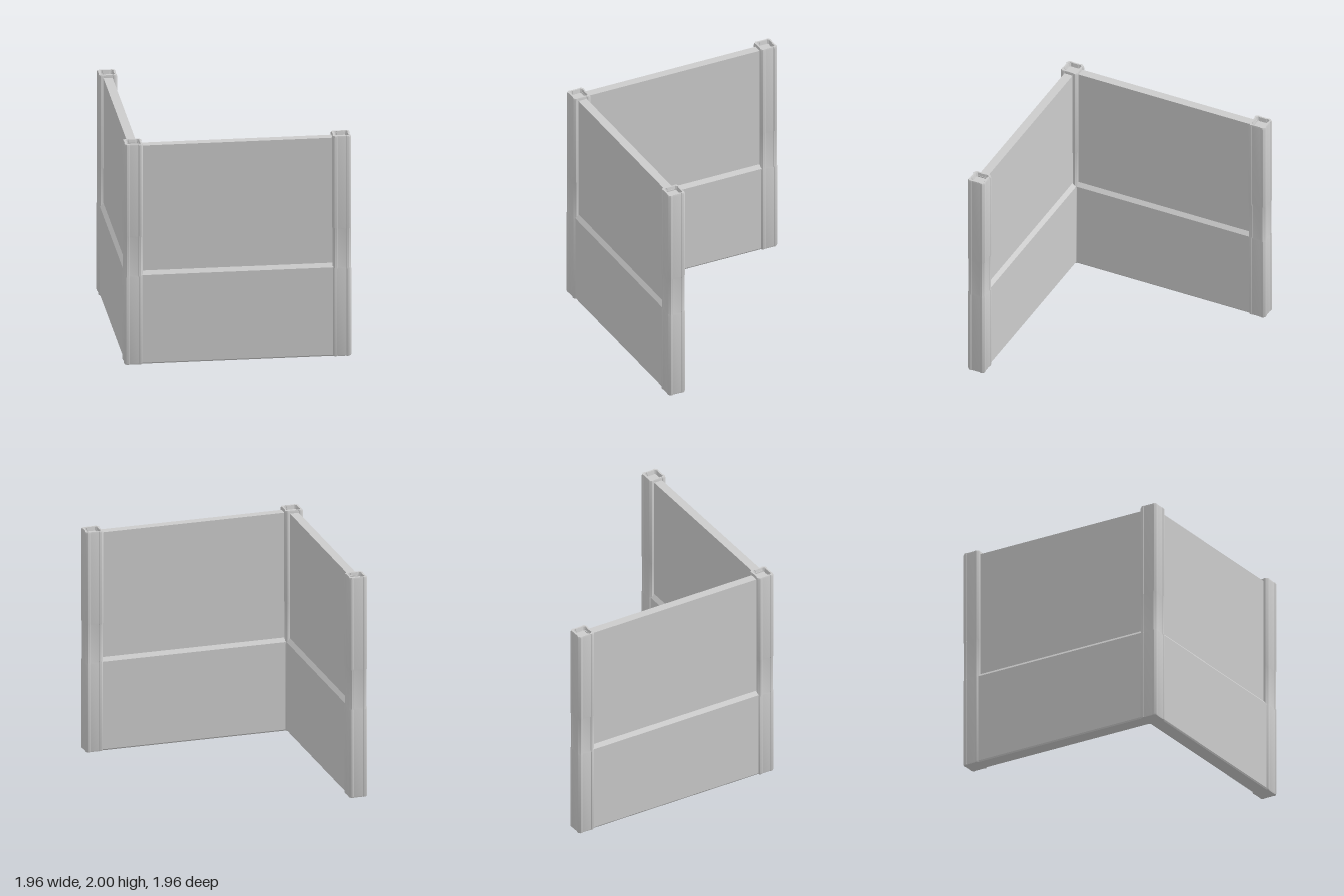
import * as THREE from 'three';
import { toCreasedNormals } from 'three/addons/utils/BufferGeometryUtils.js';

const material = new THREE.MeshStandardMaterial({ color: 0xcccccc });
const C = 0.898; // distance of the post centres and wall planes from the axes

// Chamfered square with a shallow raised strip on each side, unit half-width
const side = [[1, -0.78], [1, -0.55], [0.95, -0.5], [0.95, 0.5], [1, 0.55], [1, 0.78]];
const section = [];
for (let k = 0; k < 4; k++) {
  const c = Math.round(Math.cos(k * Math.PI / 2)), s = Math.round(Math.sin(k * Math.PI / 2));
  side.forEach(([u, v]) => section.push([u * c - v * s, u * s + v * c]));
}

// Post outline as [half-width, height], ending in the recessed cap
const postProfile = [
  [0, 0], [0.078, 0], [0.082, 0.012], [0.082, 0.795], [0.078, 0.815],
  [0.078, 1.15], [0.081, 1.17], [0.081, 1.985], [0.077, 2],
  [0.062, 2], [0.053, 1.965], [0, 1.965],
];

function loft(profile) {
  const n = section.length, pos = [], index = [];
  profile.forEach(([r, y]) => section.forEach(([x, z]) => pos.push(x * r, y, z * r)));
  for (let i = 0; i < profile.length - 1; i++) {
    for (let j = 0; j < n; j++) {
      const a = i * n + j, b = i * n + (j + 1) % n;
      if (profile[i + 1][0] > 0) index.push(a, a + n, b + n);
      if (profile[i][0] > 0) index.push(a, b + n, b);
    }
  }
  const g = new THREE.BufferGeometry();
  g.setAttribute('position', new THREE.Float32BufferAttribute(pos, 3));
  g.setIndex(index);
  return toCreasedNormals(g, 0.5);
}

// Extrude a symmetric half-outline along x, centred
function wallPart(half, length) {
  const pts = half.concat(half.slice().reverse().map(([z, y]) => [-z, y]));
  const shape = new THREE.Shape(pts.map(([z, y]) => new THREE.Vector2(z, y)));
  const g = new THREE.ExtrudeGeometry(shape, { depth: length, bevelEnabled: false });
  return g.translate(0, 0, -length / 2).rotateY(Math.PI / 2);
}

function add(parent, name, geometry) {
  const mesh = new THREE.Mesh(geometry, material);
  mesh.name = name;
  parent.add(mesh);
}

// Thick base with a sloped ledge and a thinner panel above
function makeWall(name) {
  const wall = new THREE.Group();
  wall.name = name;
  add(wall, 'wallBase', wallPart([[0.062, 0], [0.07, 0.012], [0.07, 0.808], [0.039, 0.84]], 1.7));
  add(wall, 'wallPanel', wallPart([[0.039, 0.83], [0.039, 1.975]], 1.7));
  return wall;
}

export function createModel() {
  const model = new THREE.Group();
  model.name = 'cornerWall';

  const frontWall = makeWall('frontWall');
  frontWall.position.z = C;
  const sideWall = makeWall('sideWall');
  sideWall.rotation.y = Math.PI / 2;
  sideWall.position.x = -C;
  model.add(frontWall, sideWall);

  // Posts at the corner and at both free ends
  const postGeometry = loft(postProfile);
  [['cornerPost', -C, C], ['frontEndPost', C, C], ['backEndPost', -C, -C]].forEach(([name, x, z]) => {
    const post = new THREE.Mesh(postGeometry, material);
    post.name = name;
    post.position.set(x, 0, z);
    model.add(post);
  });
  return model;
}
